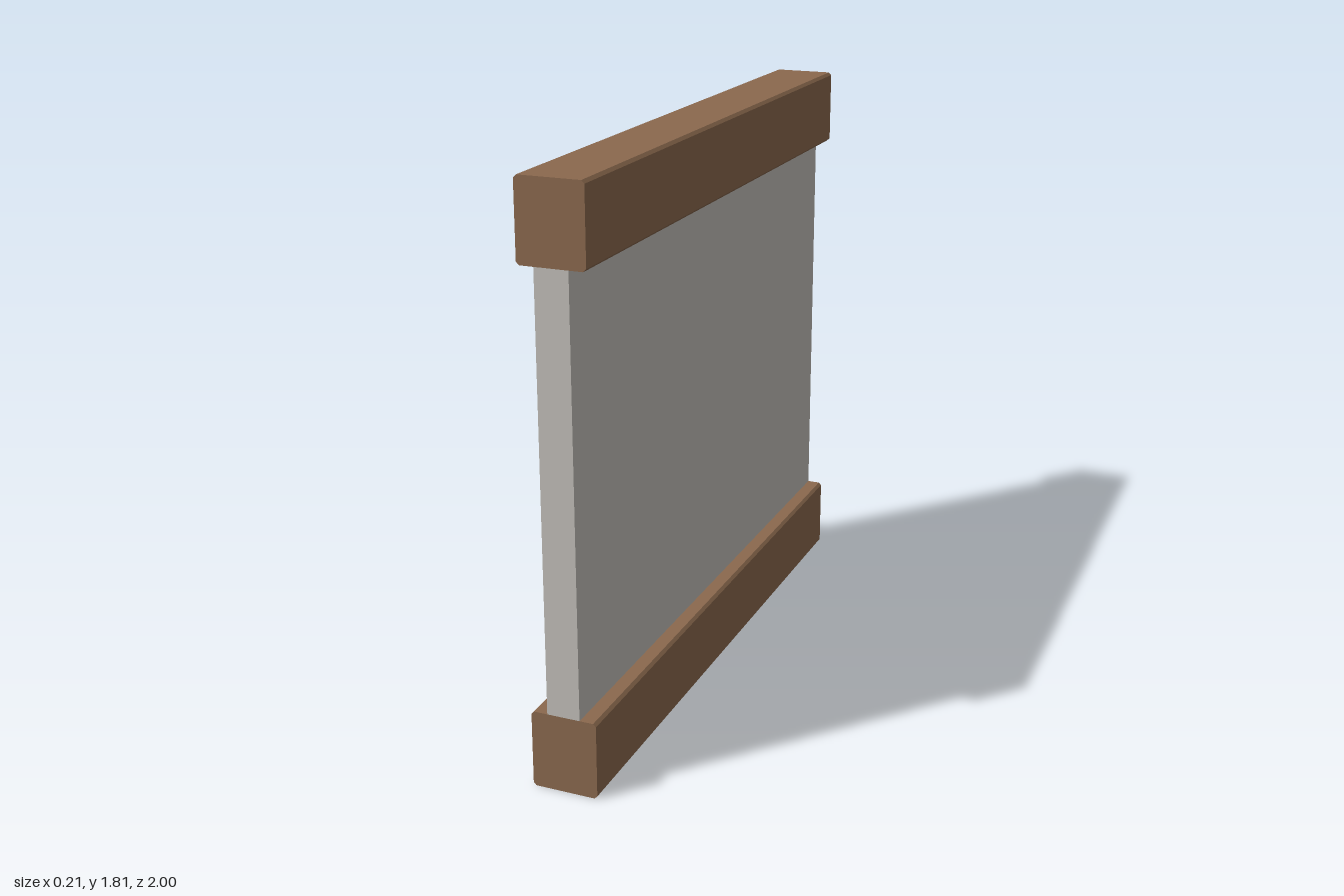
import * as THREE from 'three';

const LENGTH = 2, BEAM_W = 0.206, BEAM_H = 0.243, HEIGHT = 1.812, CHAMFER = 0.009;

// Beam section with small chamfers on the long edges, extruded along z
function beamGeometry() {
  const w = BEAM_W / 2, h = BEAM_H / 2, c = CHAMFER;
  const section = new THREE.Shape([
    [-w + c, -h], [w - c, -h], [w, -h + c], [w, h - c],
    [w - c, h], [-w + c, h], [-w, h - c], [-w, -h + c],
  ].map(([x, y]) => new THREE.Vector2(x, y)));
  const geometry = new THREE.ExtrudeGeometry(section, { depth: LENGTH, bevelEnabled: false });
  return geometry.translate(0, 0, -LENGTH / 2);
}

export function createModel() {
  const wood = new THREE.MeshStandardMaterial({ color: 0x8b694e });
  wood.name = 'brown wood';
  const plaster = new THREE.MeshStandardMaterial({ color: 0xc2bfb9 });
  plaster.name = 'pale grey plaster';

  const model = new THREE.Group();
  model.name = 'wallSection';

  const add = (name, geometry, material, y) => {
    const mesh = new THREE.Mesh(geometry, material);
    mesh.name = name;
    mesh.position.y = y;
    model.add(mesh);
  };

  // Sill and head beams
  const beam = beamGeometry();
  add('bottomBeam', beam, wood, BEAM_H / 2);
  add('topBeam', beam, wood, HEIGHT - BEAM_H / 2);

  // Infill panel between the beams
  const panel = new THREE.BoxGeometry(0.103, HEIGHT - 2 * BEAM_H, LENGTH);
  add('wallPanel', panel, plaster, HEIGHT / 2);

  return model;
}
